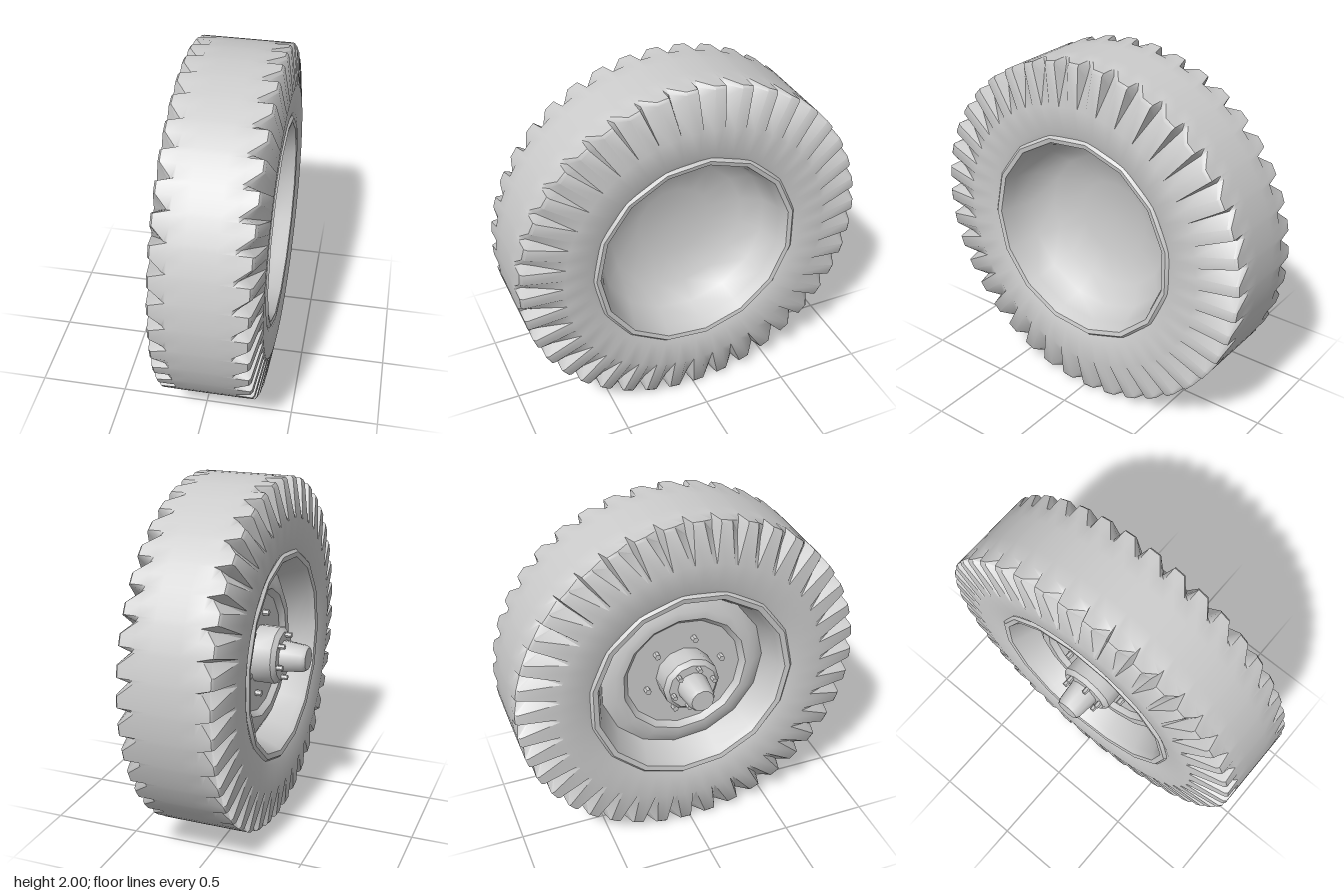
import * as THREE from 'three';
import { toCreasedNormals } from 'three/addons/utils/BufferGeometryUtils.js';

const grey = new THREE.MeshStandardMaterial({ color: 0xcccccc });
grey.name = 'light grey';

// Revolve [radius, x] points about the wheel axis (x)
function turned(name, points, sides, crease = 0.7) {
  const lathe = new THREE.LatheGeometry(points.map(([r, x]) => new THREE.Vector2(r, x)), sides);
  lathe.rotateZ(-Math.PI / 2);
  const mesh = new THREE.Mesh(toCreasedNormals(lathe, crease), grey);
  mesh.name = name;
  return mesh;
}

// Tyre: half profile from bead to crown, [radius, half width]; shoulder gaps use the cut profile
function makeTyre() {
  const lug = [[0.57, 0.265], [0.62, 0.285], [0.77, 0.295], [0.985, 0.262], [1, 0.25], [1, 0.165], [1, 0.08]];
  const cut = [[0.57, 0.265], [0.62, 0.285], [0.77, 0.295], [0.92, 0.215], [0.975, 0.19], [1, 0.165], [1, 0.08]];
  const section = (d) => {
    const half = lug.map(([r, w], i) => [r + (cut[i][0] - r) * d, w + (cut[i][1] - w) * d]);
    return [...half.map(([r, w]) => [r, -w]), ...half.reverse()];
  };
  const teeth = 40;
  const steps = [[0, 0], [0.4, 0], [0.85, 1]]; // [fraction of a tooth, depth of cut]
  const positions = [], index = [];
  const columns = teeth * steps.length, rows = lug.length * 2;
  for (let t = 0; t < teeth; t++) {
    for (const [f, depth] of steps) {
      const a = ((t + f) / teeth) * Math.PI * 2;
      for (const [r, x] of section(depth)) positions.push(x + 0.06, r * Math.cos(a), r * Math.sin(a));
    }
  }
  for (let i = 0; i < columns; i++) {
    for (let j = 0; j < rows - 1; j++) {
      const a = i * rows + j, b = ((i + 1) % columns) * rows + j;
      index.push(a, b, a + 1, b, b + 1, a + 1);
    }
  }
  const geometry = new THREE.BufferGeometry();
  geometry.setAttribute('position', new THREE.Float32BufferAttribute(positions, 3));
  geometry.setIndex(index);
  const mesh = new THREE.Mesh(toCreasedNormals(geometry, 0.85), grey);
  mesh.name = 'tyre';
  return mesh;
}

// Ring of small lug nuts lying along the axis
function boltRing(name, count, radius, x, size, length) {
  const ring = new THREE.Group();
  ring.name = name;
  const geometry = new THREE.CylinderGeometry(size, size, length, 6);
  geometry.rotateZ(Math.PI / 2);
  for (let i = 0; i < count; i++) {
    const a = ((i + 0.25) / count) * Math.PI * 2;
    const bolt = new THREE.Mesh(toCreasedNormals(geometry, 0.5), grey);
    bolt.name = 'bolt';
    bolt.position.set(x, radius * Math.cos(a), radius * Math.sin(a));
    ring.add(bolt);
  }
  return ring;
}

export function createModel() {
  const wheel = new THREE.Group();
  wheel.name = 'wheel';
  wheel.add(makeTyre());

  // Rim: flat mounting disc on one side, deep open bowl on the other
  wheel.add(turned('rim', [
    [0, -0.07], [0.34, -0.07], [0.37, -0.1], [0.42, -0.1], [0.49, -0.06], [0.54, -0.19],
    [0.56, -0.225], [0.59, -0.23], [0.605, -0.215], [0.57, -0.17],
    [0.57, 0.29], [0.605, 0.335], [0.59, 0.35], [0.565, 0.345], [0.54, 0.28],
    [0.5, 0.16], [0.4, 0.07], [0.22, 0.02], [0, 0.005],
  ], 15, 0.75));

  // Hub drum and tapered axle cap
  wheel.add(turned('hub', [[0, -0.215], [0.14, -0.215], [0.165, -0.19], [0.165, -0.06]], 12));
  wheel.add(turned('axleCap', [[0, -0.36], [0.065, -0.36], [0.077, -0.34], [0.092, -0.2]], 12));

  wheel.add(boltRing('discBolts', 6, 0.23, -0.08, 0.018, 0.05));
  wheel.add(boltRing('hubBolts', 6, 0.12, -0.225, 0.015, 0.05));

  wheel.position.y = 1;
  const model = new THREE.Group();
  model.name = 'wheelAssembly';
  model.add(wheel);
  return model;
}
